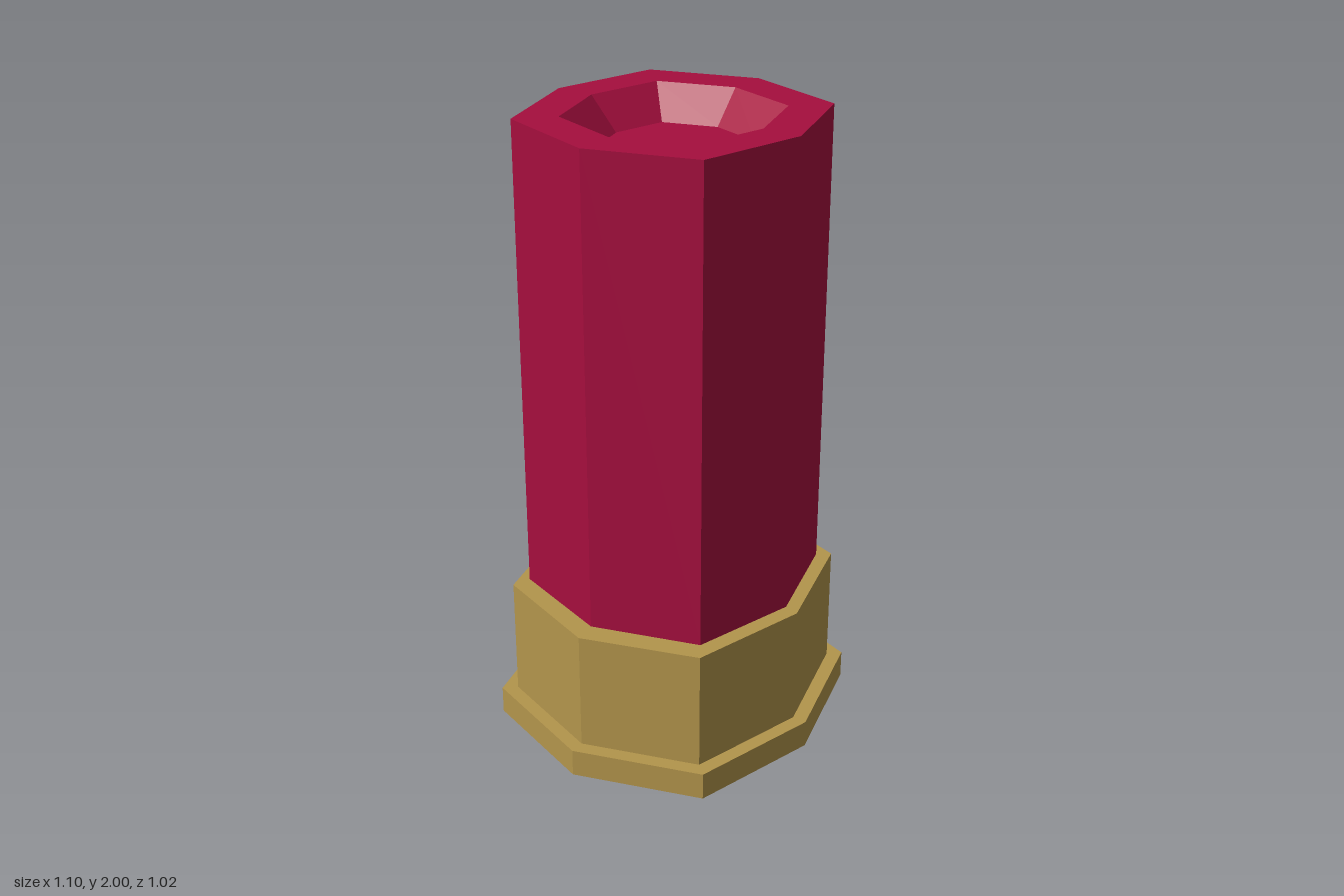
import * as THREE from 'three';

// Eight-sided solid from a bottom-to-top [radius, height] profile.
// diagX / diagZ place the diagonal corners and frontZ the front and back corners, relative to the radius.
function octagonSolid(name, color, profile, { diagX, diagZ, frontZ }) {
  const points = profile.map(([r, y]) => new THREE.Vector2(r, y));
  const geometry = new THREE.LatheGeometry(points, 8).toNonIndexed();
  const pos = geometry.attributes.position;
  for (let i = 0; i < pos.count; i++) {
    const x = pos.getX(i), z = pos.getZ(i);
    const diagonal = Math.abs(x) > 1e-4 && Math.abs(z) > 1e-4;
    pos.setX(i, diagonal ? x * diagX * Math.SQRT2 : x);
    pos.setZ(i, diagonal ? z * diagZ * Math.SQRT2 : z * frontZ);
  }
  geometry.computeVertexNormals();
  const mesh = new THREE.Mesh(geometry, new THREE.MeshStandardMaterial({ color, flatShading: true }));
  mesh.name = name;
  return mesh;
}

export function createModel() {
  const brass = 0xb3954c, red = 0xa60e3e;
  const model = new THREE.Group();
  model.name = 'shotgunShell';

  // Wide flange the shell stands on
  model.add(octagonSolid('baseRim', brass,
    [[0, 0], [0.55, 0], [0.55, 0.09], [0, 0.09]],
    { diagX: 0.752, diagZ: 0.727, frontZ: 0.93 }));

  // Metal collar above the flange
  model.add(octagonSolid('brassCollar', brass,
    [[0, 0.09], [0.503, 0.09], [0.503, 0.48], [0, 0.48]],
    { diagX: 0.754, diagZ: 0.72, frontZ: 0.925 }));

  // Casing with a tapered recess in its top
  model.add(octagonSolid('casing', red,
    [[0, 0.49], [0.442, 0.49], [0.442, 2], [0.314, 2], [0.221, 1.9], [0, 1.9]],
    { diagX: 0.755, diagZ: 0.751, frontZ: 0.963 }));

  return model;
}
